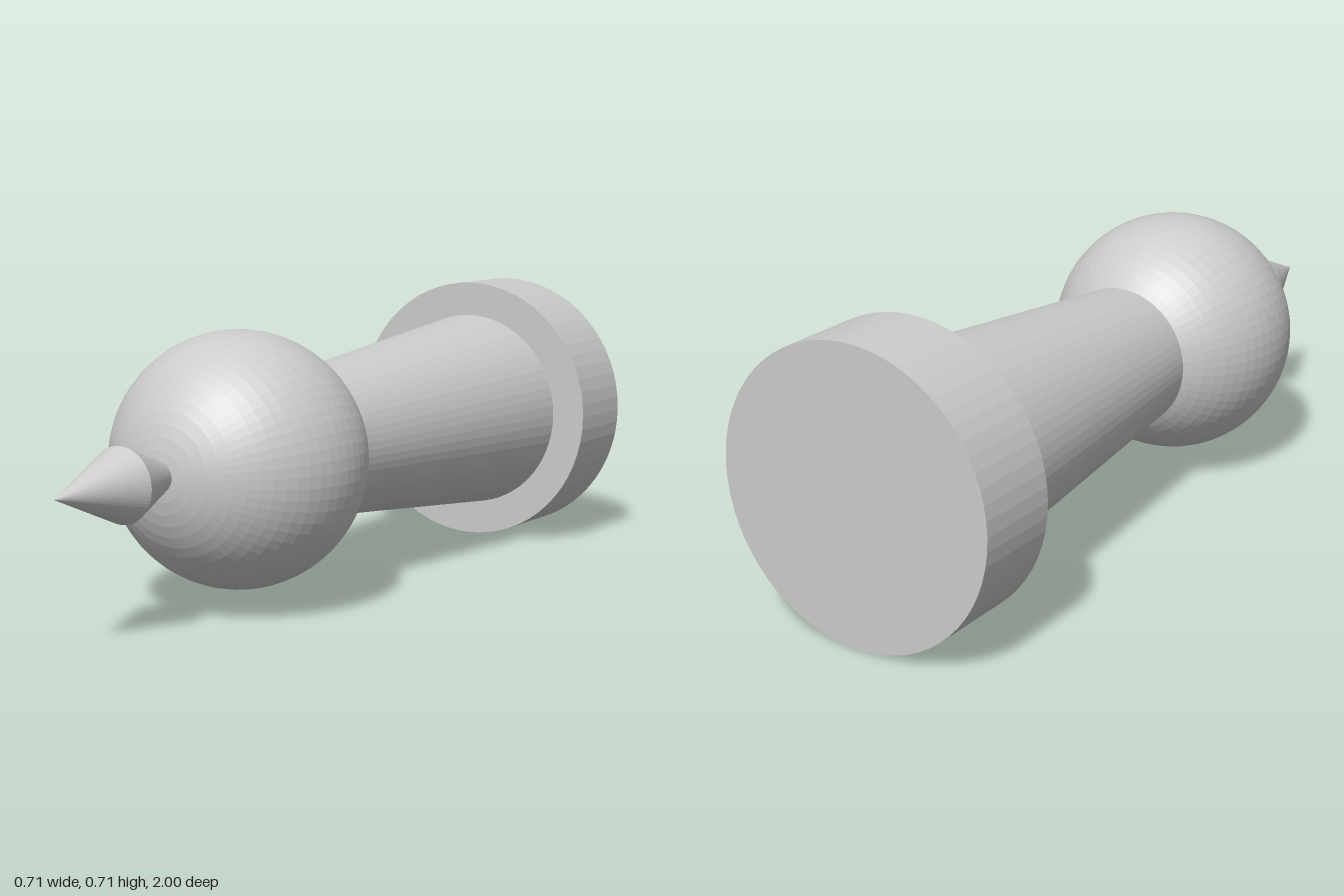
import * as THREE from 'three';

const SIDES = 64;
const AXIS_Y = 0.356;

export function createModel() {
  const group = new THREE.Group();
  const material = new THREE.MeshStandardMaterial({ color: 0xcccccc, flatShading: true });

  const add = (name, geometry, z) => {
    const mesh = new THREE.Mesh(geometry, material);
    mesh.name = name;
    mesh.rotation.x = Math.PI / 2; // the turned axis runs along z
    mesh.position.set(0, AXIS_Y, z);
    group.add(mesh);
  };

  // Round section between two depths, tapering from the back to the front radius
  const turned = (name, zBack, zFront, rBack, rFront) =>
    add(name, new THREE.CylinderGeometry(rFront, rBack, zFront - zBack, SIDES), (zBack + zFront) / 2);

  turned('base', -1, -0.78, AXIS_Y, AXIS_Y);
  turned('shaft', -0.78, 0.083, 0.265, 0.18);
  add('ball', new THREE.SphereGeometry(0.31, SIDES, SIDES / 2), 0.335);

  // Pointed finial: short flare out of the ball, then a sharp cone
  const profile = [[0, 0.6], [0.02, 0.6], [0.088, 0.78], [0, 1]];
  add('finial', new THREE.LatheGeometry(profile.map(([r, z]) => new THREE.Vector2(r, z)), SIDES), 0);

  return group;
}
